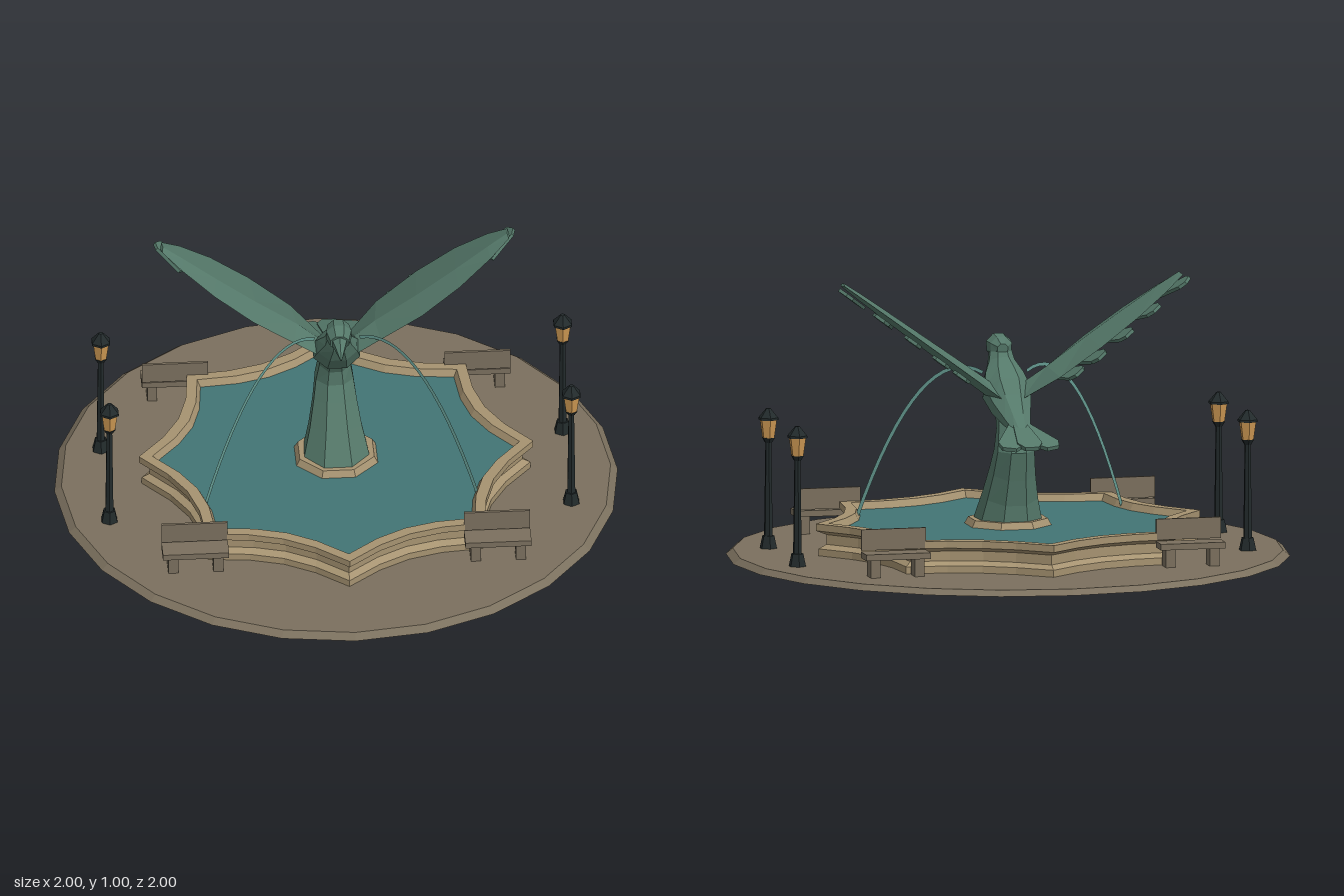
import * as THREE from 'three';

const mat = (name, color, side = THREE.FrontSide) => {
  const m = new THREE.MeshStandardMaterial({ color, side });
  m.name = name;
  return m;
};
const V = (x, y, z) => new THREE.Vector3(x, y, z);

// Faceted copy of a geometry
function flat(geo) {
  const g = geo.index ? geo.toNonIndexed() : geo;
  g.computeVertexNormals();
  return g;
}

// Skin closed rings of points, each counter-clockwise seen from the far end
function loft(rings, capped = true) {
  const n = rings[0].length, pos = [];
  const tri = (...pts) => pts.forEach(p => pos.push(p.x, p.y, p.z));
  for (let i = 0; i < rings.length - 1; i++) {
    for (let j = 0; j < n; j++) {
      const k = (j + 1) % n;
      const a = rings[i][j], b = rings[i][k], c = rings[i + 1][k], d = rings[i + 1][j];
      tri(a, b, c);
      tri(a, c, d);
    }
  }
  if (capped) {
    const s = rings[0], e = rings[rings.length - 1];
    for (let j = 1; j < n - 1; j++) {
      tri(s[0], s[j + 1], s[j]);
      tri(e[0], e[j], e[j + 1]);
    }
  }
  const g = new THREE.BufferGeometry();
  g.setAttribute('position', new THREE.Float32BufferAttribute(pos, 3));
  return flat(g);
}

// Elliptical sections along a path in the x = 0 plane: [y, z, halfWidth, halfDepth]
function limb(path, sides = 8) {
  return loft(path.map(([y, z, rx, rn], i) => {
    const p = path[Math.max(i - 1, 0)], q = path[Math.min(i + 1, path.length - 1)];
    const len = Math.hypot(q[0] - p[0], q[1] - p[1]);
    const ty = (q[0] - p[0]) / len, tz = (q[1] - p[1]) / len;
    return Array.from({ length: sides }, (_, j) => {
      const a = (j + 0.5) / sides * Math.PI * 2, s = Math.sin(a) * rn;
      return V(Math.cos(a) * rx, y + tz * s, z - ty * s);
    });
  }));
}

// Eight-pointed outline with sides curving inwards
function star(r, y) {
  const pts = [], seg = 4;
  for (let i = 0; i < 8; i++) {
    const a = i * Math.PI / 4, b = a + Math.PI / 4;
    for (let k = 0; k < seg; k++) {
      const t = k / seg, f = r * (1 - 0.36 * t * (1 - t));
      pts.push(V(f * (Math.cos(a) * (1 - t) + Math.cos(b) * t), y,
        -f * (Math.sin(a) * (1 - t) + Math.sin(b) * t)));
    }
  }
  return pts;
}

// Thin feather pointing along -z
function feather(w0, w1, len, thick) {
  const s = new THREE.Shape([[-w0, 0], [w0, 0], [w1, len * 0.82], [w1 * 0.55, len],
    [-w1 * 0.55, len], [-w1, len * 0.82]].map(p => new THREE.Vector2(...p)));
  return new THREE.ExtrudeGeometry(s, { depth: thick, bevelEnabled: false }).rotateX(-Math.PI / 2);
}

// Mirror across x = 0, keeping faces outward
function mirrorX(geo) {
  const g = flat(geo.clone()), p = g.attributes.position;
  for (let i = 0; i < p.count; i += 3) {
    const t = [0, 1, 2].map(k => V(-p.getX(i + k), p.getY(i + k), p.getZ(i + k)));
    [t[0], t[2], t[1]].forEach((v, k) => p.setXYZ(i + k, v.x, v.y, v.z));
  }
  g.computeVertexNormals();
  return g;
}

export function createModel() {
  const stone = mat('paving stone', 0x7b705e);
  const sand = mat('sandstone', 0xa69371);
  const water = mat('pool water', 0x427575);
  const spray = mat('water jet', 0x649990, THREE.DoubleSide);
  const bronze = mat('green bronze', 0x55796a);
  const iron = mat('dark iron', 0x222a2b);
  const glass = mat('lamp glass', 0xcf9a54);

  const root = new THREE.Group();
  root.name = 'birdFountain';
  const group = name => {
    const g = new THREE.Group();
    g.name = name;
    root.add(g);
    return g;
  };
  const add = (parent, name, geo, material, x = 0, y = 0, z = 0) => {
    const m = new THREE.Mesh(flat(geo), material);
    m.name = name;
    m.position.set(x, y, z);
    parent.add(m);
    return m;
  };
  const cyl = (rt, rb, h, n) => new THREE.CylinderGeometry(rt, rb, h, n);

  // Round plaza
  add(root, 'plaza', cyl(0.975, 1, 0.02, 24), stone, 0, 0.01);

  // Star basin: plinth, recessed wall, overhanging rim and inner slope
  const profile = [[0.69, 0.018], [0.69, 0.045], [0.662, 0.06], [0.662, 0.095], [0.7, 0.11],
    [0.7, 0.135], [0.652, 0.135], [0.63, 0.1]];
  add(root, 'basin', loft(profile.map(p => star(...p)), false), sand);
  const pool = new THREE.Shape(star(0.638, 0).map(p => new THREE.Vector2(p.x, -p.z)));
  add(root, 'water', new THREE.ShapeGeometry(pool).rotateX(-Math.PI / 2), water, 0, 0.11);

  // Collar and leaning pedestal
  add(root, 'collar', cyl(0.143, 0.16, 0.03, 8).rotateY(Math.PI / 8), sand, 0, 0.119);
  add(root, 'pedestal', limb([[0.1, 0, 0.13, 0.13], [0.22, -0.035, 0.1, 0.1], [0.31, -0.068, 0.083, 0.085],
    [0.39, -0.095, 0.072, 0.078], [0.47, -0.075, 0.06, 0.06], [0.55, -0.03, 0.055, 0.055]]), bronze);

  // Bird body, head and beak
  const bird = group('bird');
  add(bird, 'body', limb([[0.465, -0.22, 0.03, 0.015], [0.495, -0.14, 0.05, 0.035], [0.535, -0.05, 0.075, 0.06],
    [0.58, 0.02, 0.09, 0.075], [0.63, 0.07, 0.075, 0.06], [0.675, 0.105, 0.05, 0.045],
    [0.72, 0.125, 0.04, 0.036]]), bronze);
  add(bird, 'head', limb([[0.725, 0.08, 0.02, 0.02], [0.728, 0.105, 0.042, 0.04], [0.728, 0.145, 0.048, 0.047],
    [0.72, 0.185, 0.036, 0.034]]), bronze);
  add(bird, 'beak', limb([[0.72, 0.17, 0.034, 0.034], [0.716, 0.215, 0.02, 0.021],
    [0.699, 0.263, 0.003, 0.003]], 6), bronze);

  // Tail fan
  [-1, 0, 1].forEach(i => {
    const geo = feather(0.022, 0.045, 0.22, 0.014).rotateY(-i * 0.33).rotateX(-0.29);
    add(bird, 'tailFeather', geo, bronze, i * 0.008, 0.488 - Math.abs(i) * 0.005, -0.155);
  });

  // Wings: [span, leading z, trailing z, half thickness], then tilted upwards
  const sections = [[0.04, 0.065, -0.07, 0.028], [0.19, 0.078, -0.16, 0.025], [0.37, 0.096, -0.185, 0.021],
    [0.54, 0.072, -0.175, 0.017], [0.68, 0.022, -0.135, 0.013], [0.765, -0.025, -0.09, 0.008]];
  const wingSkin = loft(sections.map(([u, lead, trail, h]) => {
    const ridge = lead - (lead - trail) * 0.38;
    return [V(u, 0, trail), V(u, h, ridge), V(u, 0, lead), V(u, -h * 0.8, ridge)];
  }));
  // Feathers under the trailing edge: [span, z, lean, length]
  const feathers = [[0.21, -0.05, 0.28, 0.15], [0.3, -0.06, 0.33, 0.155], [0.42, -0.05, 0.36, 0.16],
    [0.54, -0.03, 0.5, 0.15], [0.66, -0.02, 0.85, 0.14]].map(([u, z, lean, len]) =>
    feather(0.024, 0.036, len, 0.012).rotateY(-lean).translate(u, -0.027, z));
  const place = g => g.rotateZ(Math.atan(0.738)).translate(0, 0.54, 0);
  place(wingSkin);
  feathers.forEach(place);
  for (const side of ['left', 'right']) {
    const wing = new THREE.Group();
    wing.name = side + 'Wing';
    bird.add(wing);
    const form = g => side === 'left' ? g : mirrorX(g);
    add(wing, 'wingSkin', form(wingSkin), bronze);
    feathers.forEach(f => add(wing, 'wingFeather', form(f), bronze));
  }

  // Arching water jets as flat ribbons
  for (const s of [-1, 1]) {
    const pos = [], idx = [], n = 16;
    for (let i = 0; i <= n; i++) {
      const x = 0.08 + 0.404 * i / n, slope = -9.4 * (x - 0.14);
      const y = 0.665 - 4.7 * (x - 0.14) ** 2, z = 0.05 + 0.57 * (x - 0.08);
      const k = 0.0065 / Math.hypot(1.15, slope);
      for (const e of [-1, 1]) pos.push(s * (x - e * k * slope * 0.87), y + e * k * 1.15, z - e * k * slope * 0.5);
      if (i < n) idx.push(2 * i, 2 * i + 2, 2 * i + 1, 2 * i + 1, 2 * i + 2, 2 * i + 3);
    }
    const g = new THREE.BufferGeometry();
    g.setAttribute('position', new THREE.Float32BufferAttribute(pos, 3));
    g.setIndex(idx);
    add(root, 'waterJet', g, spray);
  }

  for (const sx of [-1, 1]) for (const sz of [-1, 1]) {
    // Lamp posts
    const lamp = group('lampPost');
    lamp.position.set(sx * 0.82, 0, sz * 0.22);
    add(lamp, 'lampFoot', cyl(0.022, 0.032, 0.045, 6), iron, 0, 0.0425);
    add(lamp, 'post', cyl(0.011, 0.016, 0.35, 6), iron, 0, 0.235);
    add(lamp, 'lampCup', cyl(0.024, 0.013, 0.018, 6), iron, 0, 0.407);
    add(lamp, 'lantern', cyl(0.032, 0.022, 0.068, 6), glass, 0, 0.449);
    add(lamp, 'lampEave', cyl(0.037, 0.037, 0.008, 6), iron, 0, 0.484);
    add(lamp, 'lampRoof', cyl(0.008, 0.037, 0.034, 6), iron, 0, 0.504);

    // Benches with their backs to the basin
    const bench = group('bench');
    bench.position.set(sx * 0.537, 0, sz * 0.535);
    add(bench, 'seat', new THREE.BoxGeometry(0.235, 0.022, 0.08), stone, 0, 0.095);
    add(bench, 'backrest', new THREE.BoxGeometry(0.235, 0.075, 0.01), stone, 0, 0.148, -sz * 0.038);
    for (const e of [-1, 1]) {
      add(bench, 'benchLeg', new THREE.BoxGeometry(0.035, 0.07, 0.06), stone, e * 0.08, 0.051);
    }
  }
  return root;
}
